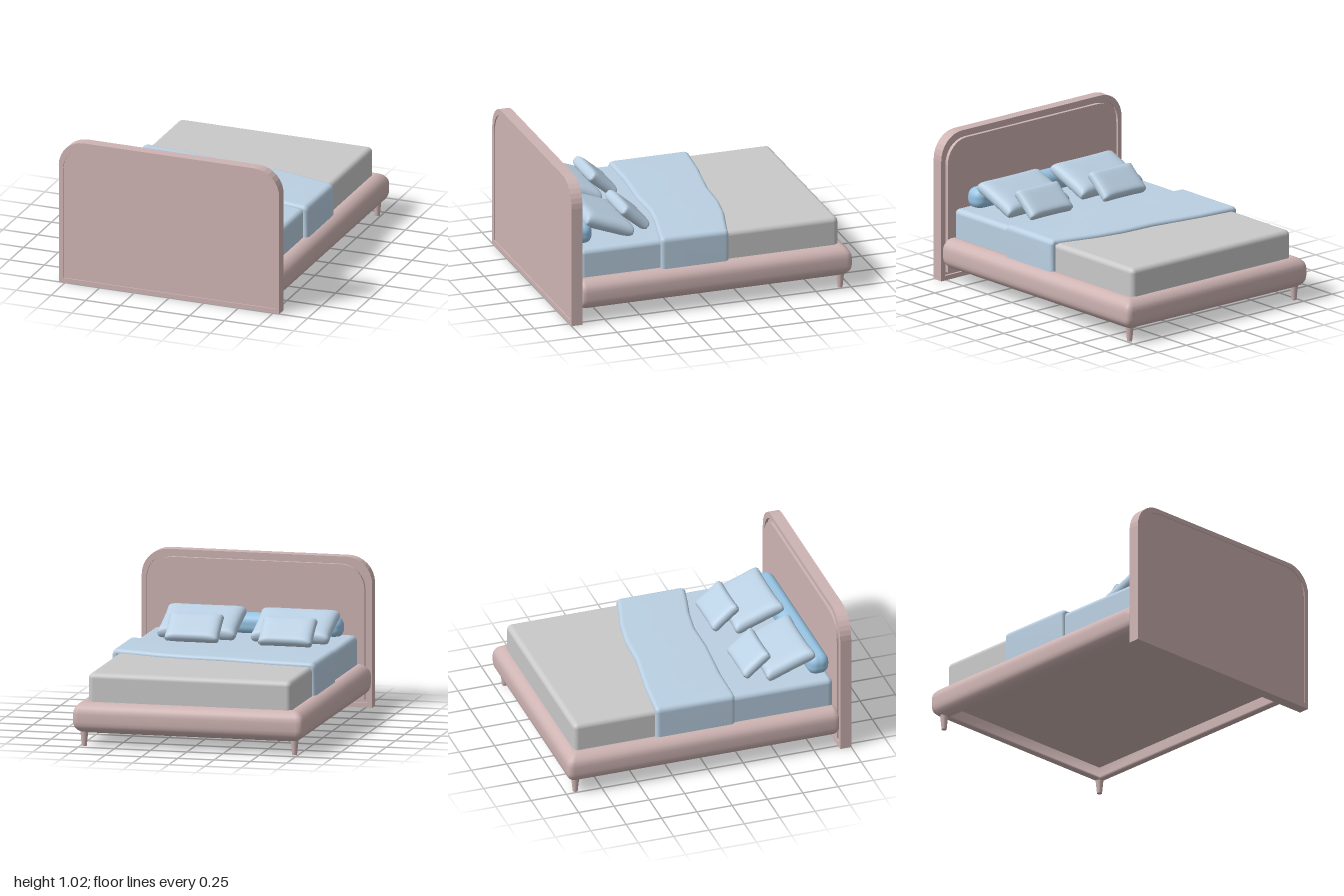
import * as THREE from 'three';
import { mergeVertices } from 'three/addons/utils/BufferGeometryUtils.js';
import { RoundedBoxGeometry } from 'three/addons/geometries/RoundedBoxGeometry.js';

const material = (name, color) => {
  const m = new THREE.MeshStandardMaterial({ color });
  m.name = name;
  return m;
};

// Smooth skin through rings of equal point count
function loft(rings) {
  const n = rings[0].length, index = [];
  for (let i = 0; i < rings.length - 1; i++) {
    for (let j = 0; j < n - 1; j++) {
      const a = i * n + j, c = a + n;
      index.push(a, a + 1, c, a + 1, c + 1, c);
    }
  }
  let geo = new THREE.BufferGeometry();
  geo.setAttribute('position', new THREE.Float32BufferAttribute(rings.flat(2), 3));
  geo.setIndex(index);
  geo = mergeVertices(geo, 1e-5);
  geo.computeVertexNormals();
  return geo;
}

// Headboard outline with rounded top corners, inset evenly
function archShape(inset) {
  const s = new THREE.Shape(), x = 0.795 - inset, y0 = inset, y1 = 1.02 - inset;
  const r = 0.18 - inset * 0.3;
  s.moveTo(-x, y0);
  s.lineTo(x, y0);
  s.lineTo(x, y1 - r);
  s.absarc(x - r, y1 - r, r, 0, Math.PI / 2);
  s.lineTo(-x + r, y1);
  s.absarc(-x + r, y1 - r, r, Math.PI / 2, Math.PI);
  s.closePath();
  return s;
}

function archSlab(inset, z0, z1, holeInset) {
  const shape = archShape(inset);
  if (holeInset) shape.holes.push(archShape(holeInset));
  return new THREE.ExtrudeGeometry(shape, { depth: z1 - z0, bevelEnabled: false, curveSegments: 4 })
    .translate(0, 0, z0);
}

// Padded U-shaped rail: each station joins an inner and an outer point
function railGeometry() {
  const xi = 0.695, xo = 0.795, zi = -0.9;
  const half = [ // inner x, z, outer x, z, section scale
    [xi, 0.918, xo, 0.918, 0.01], [xi, 0.918, xo, 0.918, 0.78],
    [xi, 0.908, xo, 0.908, 0.91], [xi, 0.885, xo, 0.885, 1],
    [xi, zi, xo, -0.955, 1], [xi, zi, 0.791, -0.98, 1],
    [xi, zi, 0.775, -0.996, 1], [xi, zi, 0.75, -1, 1],
  ];
  const mirrored = half.map(([a, b, c, d, s]) => [-a, b, -c, d, s]).reverse();
  // Cross-section: flat inside, well rounded outside (across, up from middle)
  const top = [[0, 0.09], [0.03, 0.1], [0.1, 0.105], [0.28, 0.105], [0.5, 0.099], [0.7, 0.087],
    [0.87, 0.069], [0.96, 0.05], [1, 0.025]];
  const section = [...top, ...top.map(([t, h]) => [t, -h]).reverse(), top[0]];
  return loft([...half, ...mirrored].map(([ax, az, bx, bz, scale]) => section.map(([t, h]) => {
    const s = 0.5 + (t - 0.5) * scale;
    return [ax + (bx - ax) * s, 0.195 + h * scale, az + (bz - az) * s];
  })));
}

// Skewed throw draped over the mattress and down both sides
function throwGeometry() {
  const edges = [ // x, foot edge z, head edge z
    [-0.685, -0.355, 0.206], [-0.4, -0.325, 0.211], [-0.2, -0.293, 0.228], [-0.05, -0.27, 0.24],
    [0.2, -0.258, 0.24], [0.4, -0.224, 0.27], [0.55, -0.182, 0.307], [0.695, -0.142, 0.34],
  ];
  const [l, r] = [edges[0], edges[edges.length - 1]];
  const drop = [[0.04, 0.27, 1, 0], [0.04, 0.482, 1, 0], [0.036, 0.499, 0.92, 0.38],
    [0.027, 0.511, 0.7, 0.7], [0.014, 0.518, 0.38, 0.92]];
  const path = [
    ...drop.map(([dx, y, nx, ny]) => [l[0] - dx, y, -nx, ny, l[1], l[2]]),
    ...edges.map(([x, a, b]) => [x, 0.52, 0, 1, a, b]),
    ...drop.map(([dx, y, nx, ny]) => [r[0] + dx, y, nx, ny, r[1], r[2]]).reverse(),
  ];
  const hem = [[0.003, 0.036], [0, 0.024], [0.004, 0.012], [0.014, 0.004], [0.03, 0]];
  return loft(path.map(([x, y, nx, ny, z0, z1]) => {
    const section = [...hem.map(([d, depth]) => [z0 + d, depth]),
      ...hem.map(([d, depth]) => [z1 - d, depth]).reverse()];
    return section.map(([z, depth]) => [x - nx * depth, y - ny * depth, z]);
  }));
}

// Stuffed pillow: pinched sides, lobed corners, blunt rim
function pillowGeometry(width, thick, length) {
  let geo = new THREE.BoxGeometry(2, 2, 2, 28, 1, 28);
  const p = geo.attributes.position;
  for (let i = 0; i < p.count; i++) {
    const u = Math.sin(p.getX(i) * Math.PI / 2), v = Math.sin(p.getZ(i) * Math.PI / 2);
    const puff = Math.sqrt(Math.max(0, (1 - u ** 8) * (1 - v ** 8)));
    // Round the corners by an equal radius both ways
    const round = 0.035 * Math.abs(u * v) ** 10;
    const x = u * (width / 2) * (1 - 0.06 * (1 - v ** 4));
    const z = v * (length / 2) * (1 - 0.1 * (1 - u ** 4));
    p.setXYZ(i, x - Math.sign(u) * round * 0.6, p.getY(i) * (thick / 2) * puff,
      z - Math.sign(v) * round * 0.6);
  }
  geo.deleteAttribute('normal');
  geo.deleteAttribute('uv');
  geo = mergeVertices(geo, 1e-5);
  geo.computeVertexNormals();
  return geo;
}

export function createModel() {
  const bed = new THREE.Group();
  bed.name = 'bed';
  const pink = material('dusty pink upholstery', 0xceb4b3);
  const grey = material('grey mattress', 0xc9c9c9);
  const blue = material('pale blue linen', 0xbad0e3);
  const deepBlue = material('bolster blue', 0x99c6e6);
  blue.side = THREE.DoubleSide;

  const add = (name, geo, mat, x = 0, y = 0, z = 0) => {
    const mesh = new THREE.Mesh(geo, mat);
    mesh.name = name;
    mesh.position.set(x, y, z);
    bed.add(mesh);
    return mesh;
  };

  // Headboard: rim, recessed back and raised panel facing the bed
  add('headboardRim', archSlab(0, 0.922, 1, 0.032), pink);
  add('headboardBack', archSlab(0.032, 0.94, 0.992), pink);
  add('headboardPanel', archSlab(0.052, 0.915, 0.945), pink);

  // Base
  add('paddedRail', railGeometry(), pink);
  add('basePanel', new THREE.BoxGeometry(1.41, 0.09, 1.8), pink, 0, 0.215, -0.01);
  for (const side of [-1, 1]) {
    add(side > 0 ? 'leftLeg' : 'rightLeg',
      new THREE.CylinderGeometry(0.029, 0.017, 0.12, 16), pink, side * 0.725, 0.06, -0.93);
  }

  // Mattress and bedding
  add('mattress', new RoundedBoxGeometry(1.4, 0.24, 0.98, 5, 0.036), grey, 0, 0.373, -0.44);
  add('sheet', new RoundedBoxGeometry(1.402, 0.242, 0.95, 5, 0.036), blue, 0, 0.375, 0.43);
  add('throw', throwGeometry(), blue);

  // Cushions
  add('bolster', new RoundedBoxGeometry(1.21, 0.148, 0.148, 6, 0.062), deepBlue, -0.01, 0.553, 0.843);
  for (const [side, x] of [['right', -0.335], ['left', 0.31]]) {
    add(side + 'Pillow', pillowGeometry(0.565, 0.112, 0.39), blue, x, 0.584, 0.645).rotation.x = -0.36;
    add(side + 'Cushion', pillowGeometry(0.39, 0.085, 0.25), blue, x, 0.582, 0.433).rotation.x = -0.7;
  }
  return bed;
}
